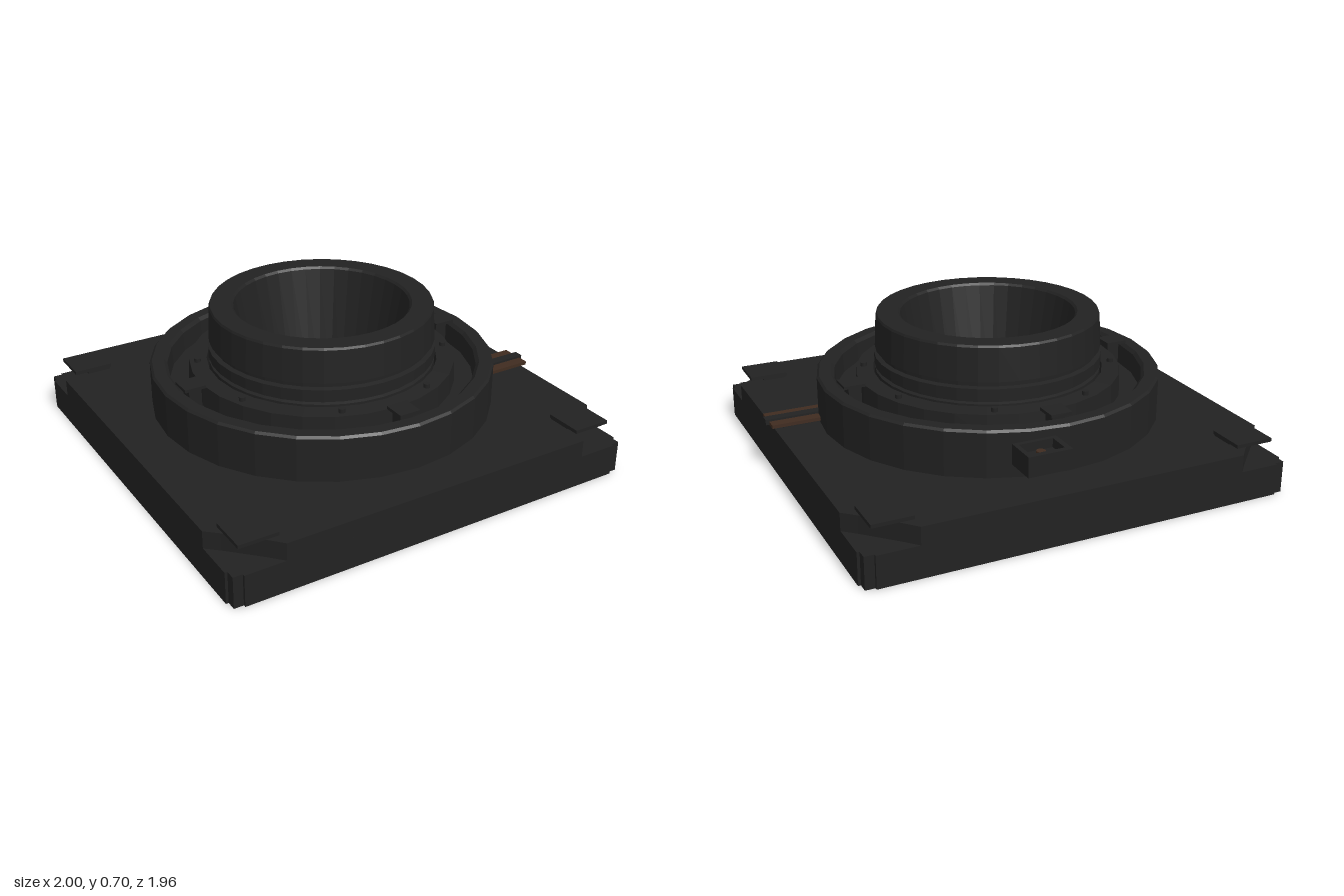
import * as THREE from 'three';

export function createModel() {
  const body = new THREE.MeshStandardMaterial({ color: 0x222222 });
  body.name = 'matte black';
  const copper = new THREE.MeshStandardMaterial({ color: 0x402c20 });
  copper.name = 'dark copper';

  const root = new THREE.Group();
  root.name = 'lensMount';
  const CX = -0.015; // axis of the plate and lens
  const HX = 0.985, HZ = 0.98;

  function add(name, geo, mat = body, x = CX, y = 0, z = 0) {
    const m = new THREE.Mesh(geo, mat);
    m.name = name;
    m.position.set(x, y, z);
    root.add(m);
    return m;
  }
  // box given by its limits
  function box(name, x0, x1, y0, y1, z0, z1, mat = body) {
    return add(name, new THREE.BoxGeometry(x1 - x0, y1 - y0, z1 - z0), mat,
      (x0 + x1) / 2, (y0 + y1) / 2, (z0 + z1) / 2);
  }
  // faceted ring turned from a closed profile of [radius, height]
  function turned(name, profile, sides) {
    const pts = [...profile, profile[0]].map(p => new THREE.Vector2(p[0], p[1]));
    const g = new THREE.LatheGeometry(pts, sides).toNonIndexed();
    g.computeVertexNormals();
    return add(name, g);
  }
  // flat outline raised from y0 to y1
  function slab(name, shape, y0, y1) {
    const g = new THREE.ExtrudeGeometry(shape, { depth: y1 - y0, bevelEnabled: false, curveSegments: 20 });
    g.rotateX(-Math.PI / 2);
    return add(name, g, body, CX, y0, 0);
  }
  // rectangle whose corners follow a list of insets [from x side, from z side]
  function outline(corner) {
    const pts = [];
    for (const [sx, sz] of [[1, 1], [-1, 1], [-1, -1], [1, -1]]) {
      const c = corner.map(([a, b]) => new THREE.Vector2(sx * (HX - a), sz * (HZ - b)));
      pts.push(...(sx * sz > 0 ? c : c.reverse()));
    }
    return new THREE.Shape(pts);
  }
  function roundHole(shape, r) {
    const p = new THREE.Path();
    p.absarc(0, 0, r, 0, Math.PI * 2, true);
    shape.holes.push(p);
    return shape;
  }

  // Base plate: hollow frame, ceiling and notched top
  const stepped = [[0, 0.055], [0.012, 0.055], [0.012, 0.012], [0.055, 0.012], [0.055, 0]];
  const notched = [[0, 0.24], [0.055, 0.19], [0.19, 0.055], [0.24, 0]];
  const frame = outline(stepped);
  frame.holes.push(new THREE.Path(outline([[0.07, 0.07]]).getPoints().reverse()));
  slab('baseFrame', frame, 0, 0.13);
  slab('baseCeiling', roundHole(outline(stepped), 0.8), 0.13, 0.145);
  slab('baseTop', roundHole(outline(notched), 0.53), 0.145, 0.225);

  // Corner gussets below and tabs above
  for (const sx of [1, -1]) for (const sz of [1, -1]) {
    const x = sx * (HX - 0.07), z = sz * (HZ - 0.07);
    const tri = [new THREE.Vector2(x, z), new THREE.Vector2(x - sx * 0.2, z), new THREE.Vector2(x, z - sz * 0.2)];
    slab('cornerGusset', new THREE.Shape(tri), 0.05, 0.13);
    add('cornerTab', new THREE.BoxGeometry(0.18, 0.016, 0.175), body, CX + sx * 0.838, 0.242, sz * 0.842);
    add('cornerTabStem', new THREE.BoxGeometry(0.11, 0.03, 0.11), body, CX + sx * 0.81, 0.225, sz * 0.81);
  }

  // Mount ring with an annular groove
  turned('mountRing', [
    [0.53, 0.215], [0.79, 0.215], [0.79, 0.425], [0.78, 0.435], [0.725, 0.435], [0.71, 0.42],
    [0.705, 0.33], [0.615, 0.33], [0.61, 0.43], [0.53, 0.435],
  ], 28);

  // Lens barrel with a grip groove and conical bore
  turned('lensBarrel', [
    [0.29, 0], [0.49, 0], [0.515, 0.02], [0.52, 0.15], [0.52, 0.44], [0.505, 0.445], [0.505, 0.455],
    [0.522, 0.46], [0.522, 0.51], [0.5, 0.515], [0.5, 0.535], [0.518, 0.54],
    [0.51, 0.69], [0.505, 0.7], [0.41, 0.7], [0.4, 0.69], [0.29, 0.1],
  ], 36);
  const key = add('barrelKey', new THREE.BoxGeometry(0.05, 0.05, 0.03), body, CX + 0.39, 0.1, -0.34);
  key.rotation.y = -0.85 + Math.PI;

  // Four clips over the groove and eight small screws
  for (let i = 0; i < 4; i++) {
    const a = i * Math.PI / 2;
    const clip = add('grooveClip', new THREE.BoxGeometry(0.1, 0.014, 0.1), body,
      CX + Math.cos(a) * 0.667, 0.446, Math.sin(a) * 0.667);
    clip.rotation.y = -a;
    const post = add('grooveClipPost', new THREE.BoxGeometry(0.06, 0.12, 0.06), body,
      CX + Math.cos(a) * 0.66, 0.385, Math.sin(a) * 0.66);
    post.rotation.y = -a;
  }
  for (let i = 0; i < 8; i++) {
    const a = (i + 0.5) * Math.PI / 4;
    add('ringScrew', new THREE.CylinderGeometry(0.015, 0.015, 0.02, 10), body,
      CX + Math.cos(a) * 0.572, 0.44, Math.sin(a) * 0.572);
  }

  // Release catch at the back: open tray with a pin
  box('catchFloor', 0.055, 0.255, 0.31, 0.36, -0.94, -0.795);
  box('catchWallLeft', 0.235, 0.255, 0.36, 0.4, -0.94, -0.795);
  box('catchWallRight', 0.055, 0.08, 0.36, 0.4, -0.94, -0.795);
  box('catchWallBack', 0.08, 0.235, 0.36, 0.4, -0.94, -0.915);
  box('catchWallFront', 0.08, 0.235, 0.36, 0.4, -0.815, -0.795);
  box('catchFoot', 0.09, 0.22, 0.295, 0.31, -0.9, -0.82);
  box('catchArm', 0.12, 0.19, 0.32, 0.38, -0.81, -0.76);
  add('catchPin', new THREE.CylinderGeometry(0.02, 0.02, 0.02, 10), copper, 0.155, 0.366, -0.855);

  // Contact strips at the left side
  box('contactStripBack', 0.72, 0.985, 0.236, 0.252, 0.13, 0.18, copper);
  box('contactStripFront', 0.72, 0.985, 0.236, 0.252, 0.232, 0.282, copper);
  box('contactLever', 0.72, 1, 0.235, 0.26, 0.185, 0.228);
  box('contactBase', 0.72, 0.93, 0.22, 0.238, 0.15, 0.262);

  return root;
}
